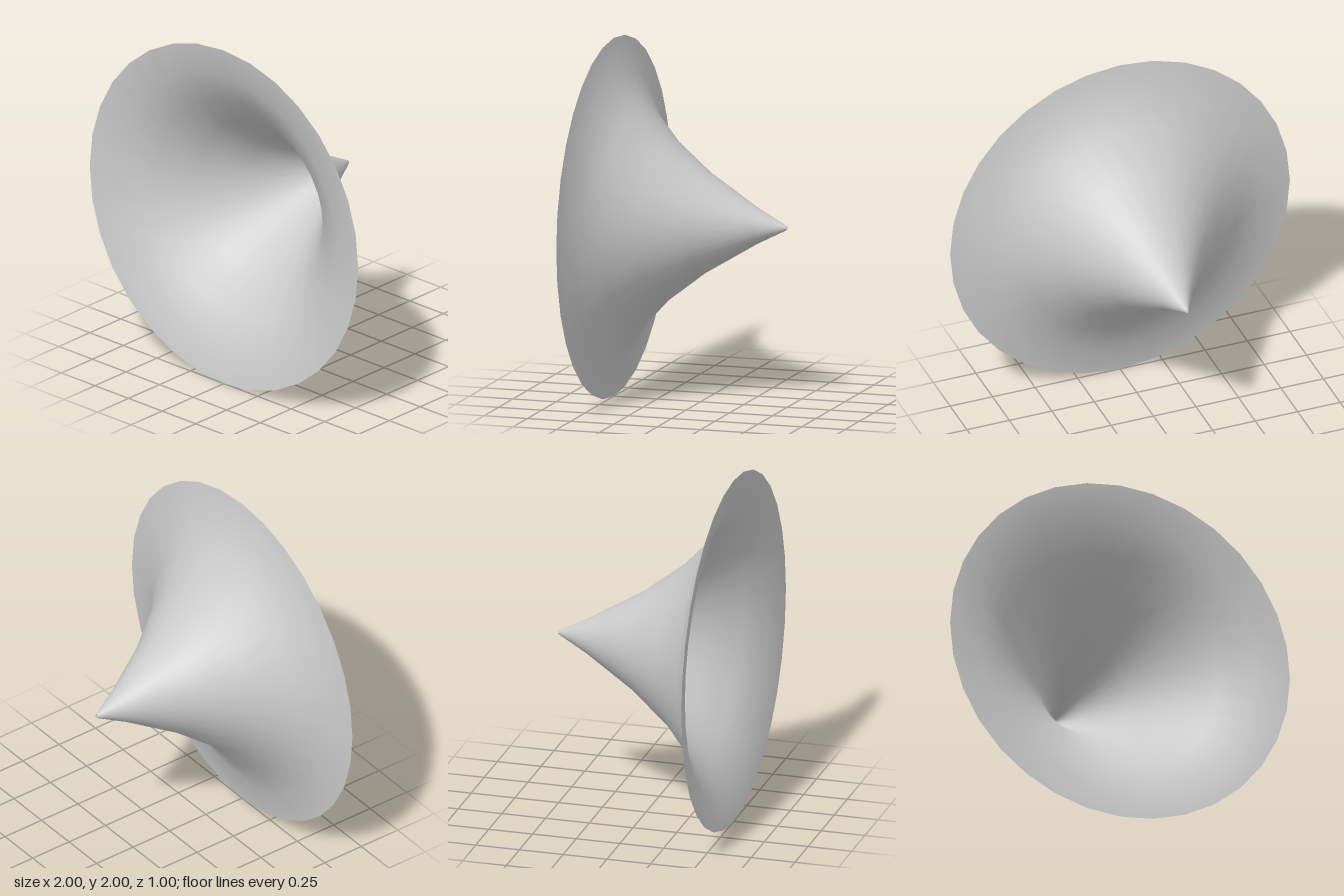
import * as THREE from 'three';

// Thin flared horn: wide open rim at the front, narrow open tip at the back
export function createModel() {
  const group = new THREE.Group();
  group.name = 'flaredHorn';

  // Parabolic profile from tip to rim: radius against depth
  const tip = 0.01;
  const radii = [tip, 0.1, 0.28, 0.46, 0.64, 0.82, 1];
  const profile = radii.map(
    (r) => new THREE.Vector2(r, 0.5 - ((1 - r) / (1 - tip)) ** 2)
  );

  // Revolve, then lay the axis along z with the rim facing forward
  const geometry = new THREE.LatheGeometry(profile, 32);
  geometry.rotateX(Math.PI / 2);

  const horn = new THREE.Mesh(
    geometry,
    new THREE.MeshStandardMaterial({ color: 0xcccccc, side: THREE.DoubleSide })
  );
  horn.name = 'hornShell';
  horn.position.y = 1;
  group.add(horn);
  return group;
}
